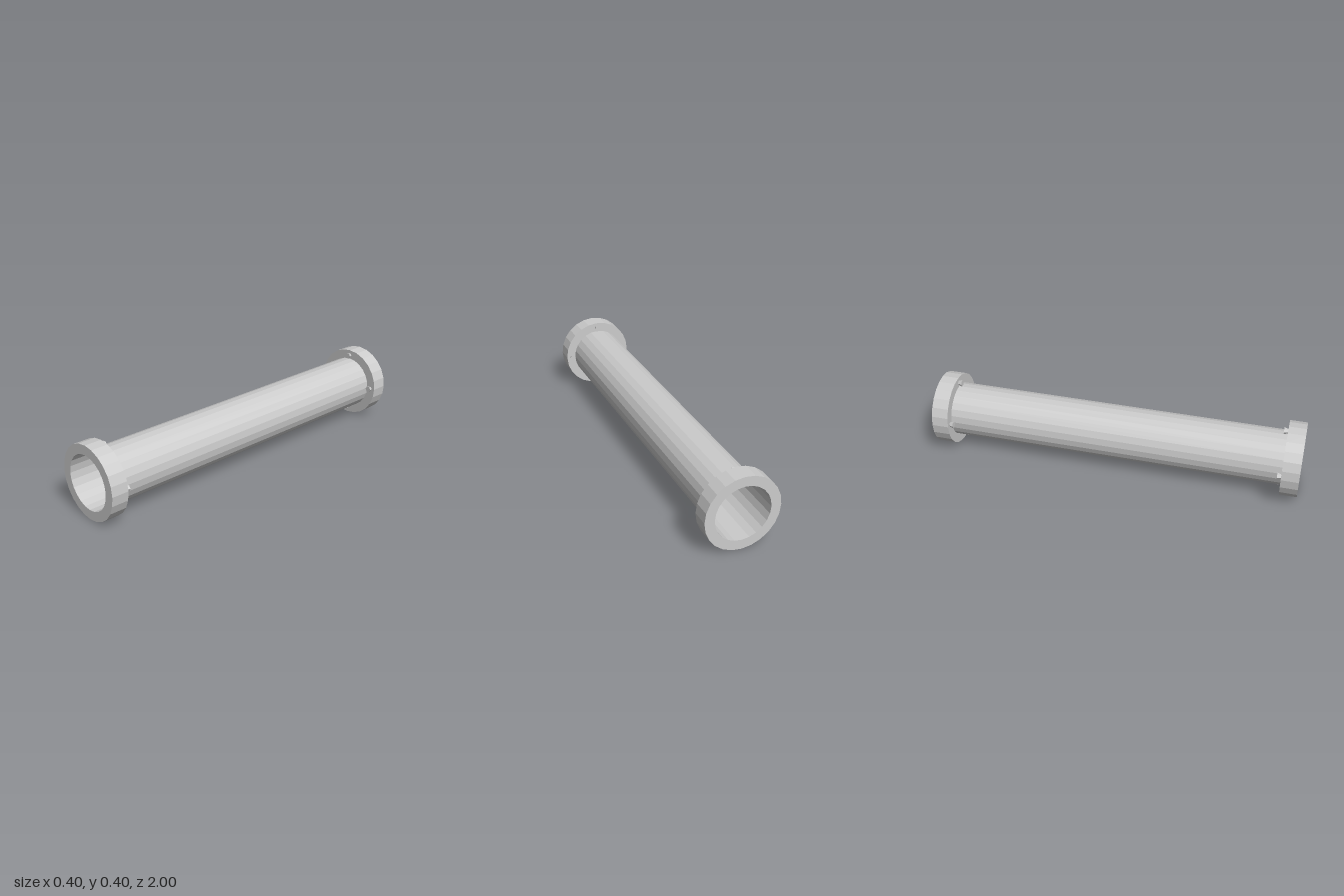
import * as THREE from 'three';

export function createModel() {
  const model = new THREE.Group();
  model.name = 'flangedPipe';
  const SIDES = 24, BORE = 0.146, RIM = 0.198, INNER_Z = 0.908;
  const material = new THREE.MeshStandardMaterial({
    color: 0xcccccc, flatShading: true, side: THREE.DoubleSide,
  });

  // All parts are turned so that their axis runs along z
  const addPart = (parent, name, geometry, x, y, z) => {
    const mesh = new THREE.Mesh(geometry.rotateX(Math.PI / 2), material);
    mesh.name = name;
    mesh.position.set(x, y, z);
    parent.add(mesh);
  };

  // Thin-walled tube running the full length
  addPart(model, 'pipe', new THREE.CylinderGeometry(BORE, BORE, 2, SIDES, 1, true), 0, RIM, 0);

  // Flange profile: inner face, rim, end face; the pipe closes the bore
  const flangeProfile = [
    [BORE, INNER_Z], [RIM, INNER_Z], [RIM, 1], [BORE, 1],
  ].map(([r, h]) => new THREE.Vector2(r, h));

  for (const [name, turn] of [['front', 0], ['back', Math.PI]]) {
    const end = new THREE.Group();
    end.name = name + 'End';
    end.position.y = RIM;
    end.rotation.y = turn;
    addPart(end, name + 'Flange', new THREE.LatheGeometry(flangeProfile, SIDES), 0, 0, 0);

    // Four tapered hexagonal bolts on the inner face
    for (let i = 0; i < 4; i++) {
      const a = i * Math.PI / 2;
      const bolt = new THREE.CylinderGeometry(0.011, 0.018, 0.022, 6, 1, false, Math.PI / 2);
      addPart(end, name + 'Bolt', bolt, 0.168 * Math.cos(a), 0.168 * Math.sin(a), INNER_Z - 0.01);
    }
    model.add(end);
  }
  return model;
}
